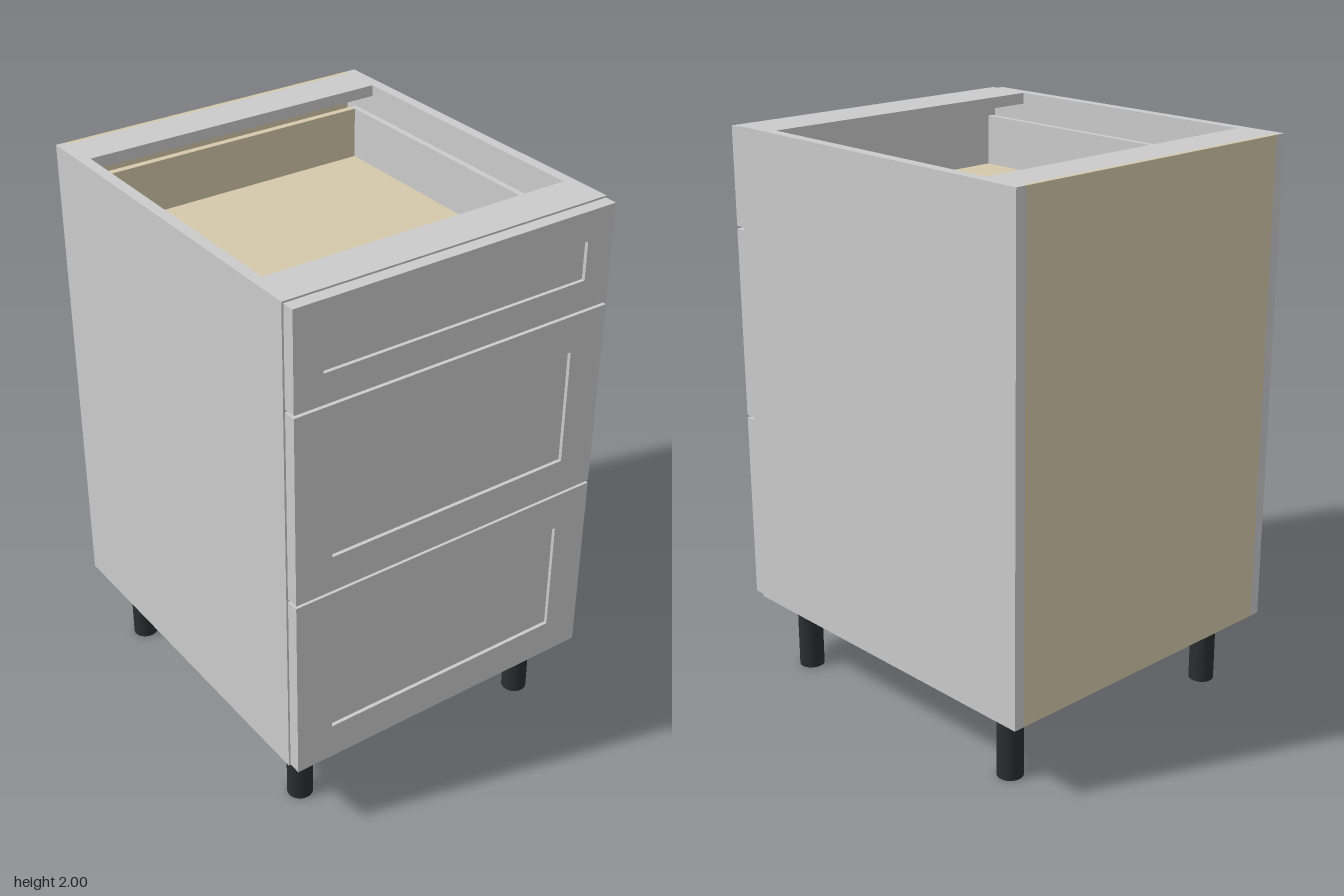
import * as THREE from 'three';

const grey = new THREE.MeshStandardMaterial({ color: 0xcccccc });
const wood = new THREE.MeshStandardMaterial({ color: 0xd6c9ab });
const black = new THREE.MeshStandardMaterial({ color: 0x2b2d2e });

// Box given by its minimum and maximum on each axis
function box(name, material, [x0, x1], [y0, y1], [z0, z1]) {
  const mesh = new THREE.Mesh(new THREE.BoxGeometry(x1 - x0, y1 - y0, z1 - z0), material);
  mesh.position.set((x0 + x1) / 2, (y0 + y1) / 2, (z0 + z1) / 2);
  mesh.name = name;
  return mesh;
}

function rectangle(Type, w, y0, y1) {
  const path = new Type();
  path.moveTo(-w, y0).lineTo(w, y0).lineTo(w, y1).lineTo(-w, y1).closePath();
  return path;
}

// Framed front with a recessed centre panel
function drawerFront(y0, y1, panelW, p0, p1) {
  const group = new THREE.Group();
  group.name = 'drawerFront';
  const shape = rectangle(THREE.Shape, 0.6, y0, y1);
  shape.holes.push(rectangle(THREE.Path, panelW, p0, p1));
  const frame = new THREE.Mesh(
    new THREE.ExtrudeGeometry(shape, { depth: 0.045, bevelEnabled: false }), grey);
  frame.position.z = 0.645;
  frame.name = 'frontFrame';
  group.add(frame, box('frontPanel', grey, [-panelW, panelW], [p0, p1], [0.645, 0.677]));
  return group;
}

// Open box behind a front: slim sides, wooden bottom and back
function drawerBox(y0, y1) {
  const group = new THREE.Group();
  group.name = 'drawerBox';
  group.add(
    box('drawerSideLeft', grey, [0.533, 0.555], [y0, y1], [-0.61, 0.645]),
    box('drawerSideRight', grey, [-0.555, -0.533], [y0, y1], [-0.61, 0.645]),
    box('drawerBottom', wood, [-0.533, 0.533], [y0, y0 + 0.025], [-0.61, 0.645]),
    box('drawerBack', wood, [-0.533, 0.533], [y0 + 0.025, y1], [-0.61, -0.585]));
  return group;
}

function leg(x, z) {
  const group = new THREE.Group();
  group.name = 'leg';
  const post = new THREE.Mesh(new THREE.CylinderGeometry(0.045, 0.045, 0.23, 32), black);
  post.position.y = 0.115;
  post.name = 'legPost';
  group.add(post, box('legPlate', black, [-0.066, 0.066], [0.23, 0.27], [-0.066, 0.066]));
  group.position.set(x, 0, z);
  return group;
}

export function createModel() {
  const model = new THREE.Group();
  model.name = 'drawerCabinet';

  // Carcass
  model.add(
    box('sidePanelLeft', grey, [0.566, 0.605], [0.27, 2], [-0.69, 0.643]),
    box('sidePanelRight', grey, [-0.605, -0.566], [0.27, 2], [-0.69, 0.643]),
    box('bottomPanel', wood, [-0.566, 0.566], [0.27, 0.31], [-0.69, 0.643]),
    box('backPanel', wood, [-0.566, 0.566], [0.31, 2], [-0.69, -0.675]),
    box('backTopRail', grey, [-0.566, 0.566], [1.96, 2], [-0.675, -0.525]),
    box('frontTopRail', grey, [-0.566, 0.566], [1.96, 2], [0.487, 0.643]));

  // Drawers: front bottom, front top, panel half width, panel bottom, panel top, box top
  const drawers = [
    [0.275, 0.955, 0.465, 0.405, 0.82, 0.75],
    [0.965, 1.642, 0.465, 1.095, 1.51, 1.44],
    [1.652, 1.995, 0.497, 1.757, 1.892, 1.9],
  ];
  for (const [y0, y1, w, p0, p1, top] of drawers) {
    model.add(drawerFront(y0, y1, w, p0, p1), drawerBox(y0 + 0.04, top));
  }

  // Legs
  for (const x of [-0.483, 0.483]) for (const z of [0.525, -0.542]) model.add(leg(x, z));

  return model;
}
